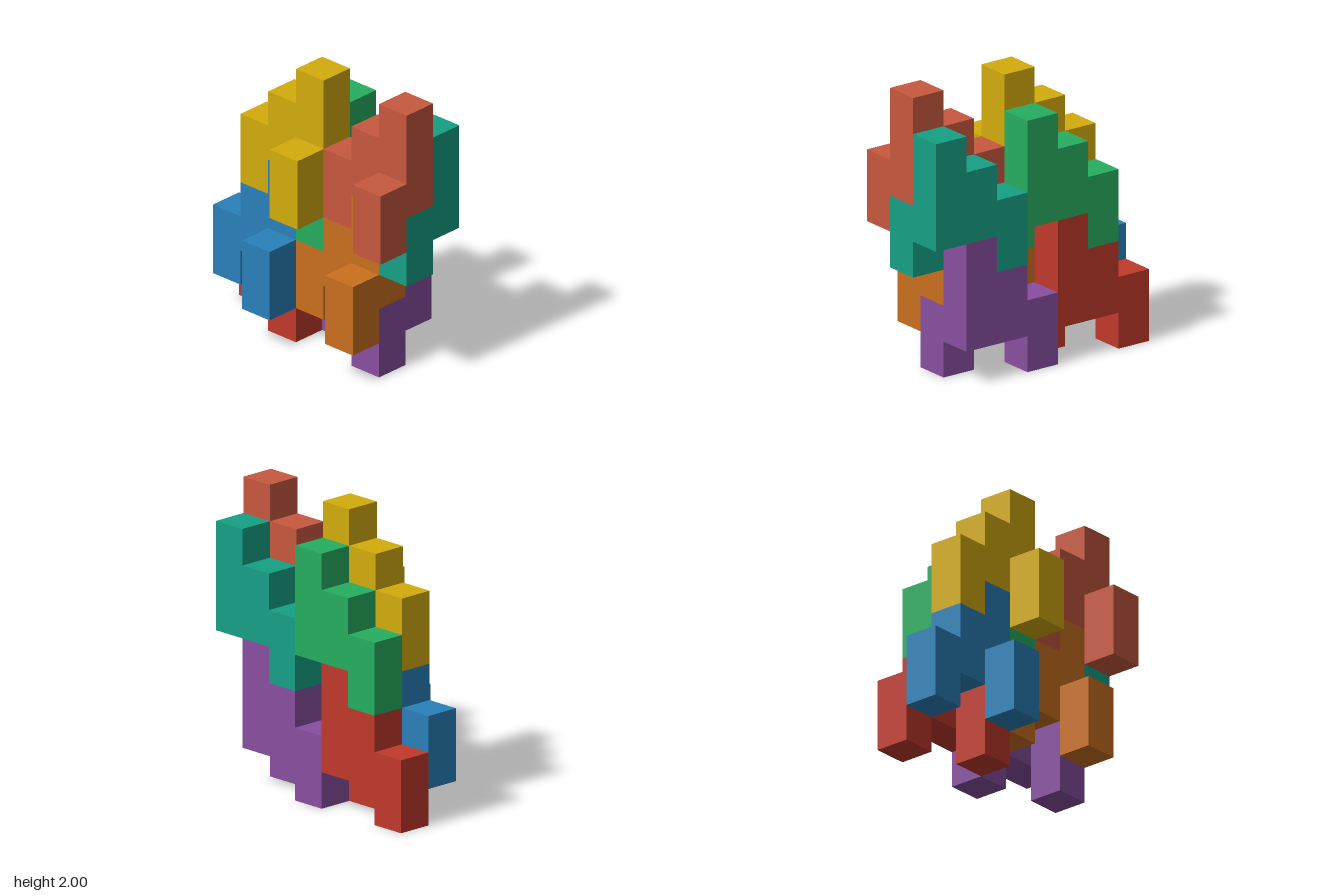
import * as THREE from 'three';

const U = 0.25; // edge of one cube cell

// Each piece: name, colour, and its lowest cell [column, row, layer]
const PIECES = [
  ['redPiece', 0xc0392b, [0, 0, 0]],
  ['purplePiece', 0x884ea0, [3, 0, 0]],
  ['greenPiece', 0x27ae60, [1, 3, 0]],
  ['tealPiece', 0x16a085, [4, 3, 0]],
  ['bluePiece', 0x2980b9, [0, 1, 1]],
  ['orangePiece', 0xca6f1e, [3, 1, 1]],
  ['yellowPiece', 0xd4ac0d, [1, 4, 1]],
  ['salmonPiece', 0xc8583f, [4, 4, 1]],
];

// Stepped outline of the flat body, in cells
const STAIR = [[0, 0], [1, 0], [1, 1], [3, 1], [3, 4], [2, 4], [2, 3], [1, 3], [1, 2], [0, 2]];

export function createModel() {
  const model = new THREE.Group();
  model.name = 'interlockingBlocks';

  // Body: stair outline, one cell thick
  const shape = new THREE.Shape(STAIR.map(([x, y]) => new THREE.Vector2(x * U, y * U)));
  const bodyGeometry = new THREE.ExtrudeGeometry(shape, { depth: U, bevelEnabled: false });

  // Peg: two cells tall, in front of the high end of the stair
  const pegGeometry = new THREE.BoxGeometry(U, 2 * U, U).translate(2.5 * U, U, 1.5 * U);

  for (const [name, color, [x, y, z]] of PIECES) {
    const material = new THREE.MeshStandardMaterial({ color });
    const piece = new THREE.Group();
    piece.name = name;
    const body = new THREE.Mesh(bodyGeometry, material);
    body.name = 'stairBody';
    const peg = new THREE.Mesh(pegGeometry, material);
    peg.name = 'frontPeg';
    piece.add(body, peg);
    piece.position.set((x - 3.5) * U, y * U, (z - 1.5) * U);
    model.add(piece);
  }
  return model;
}
